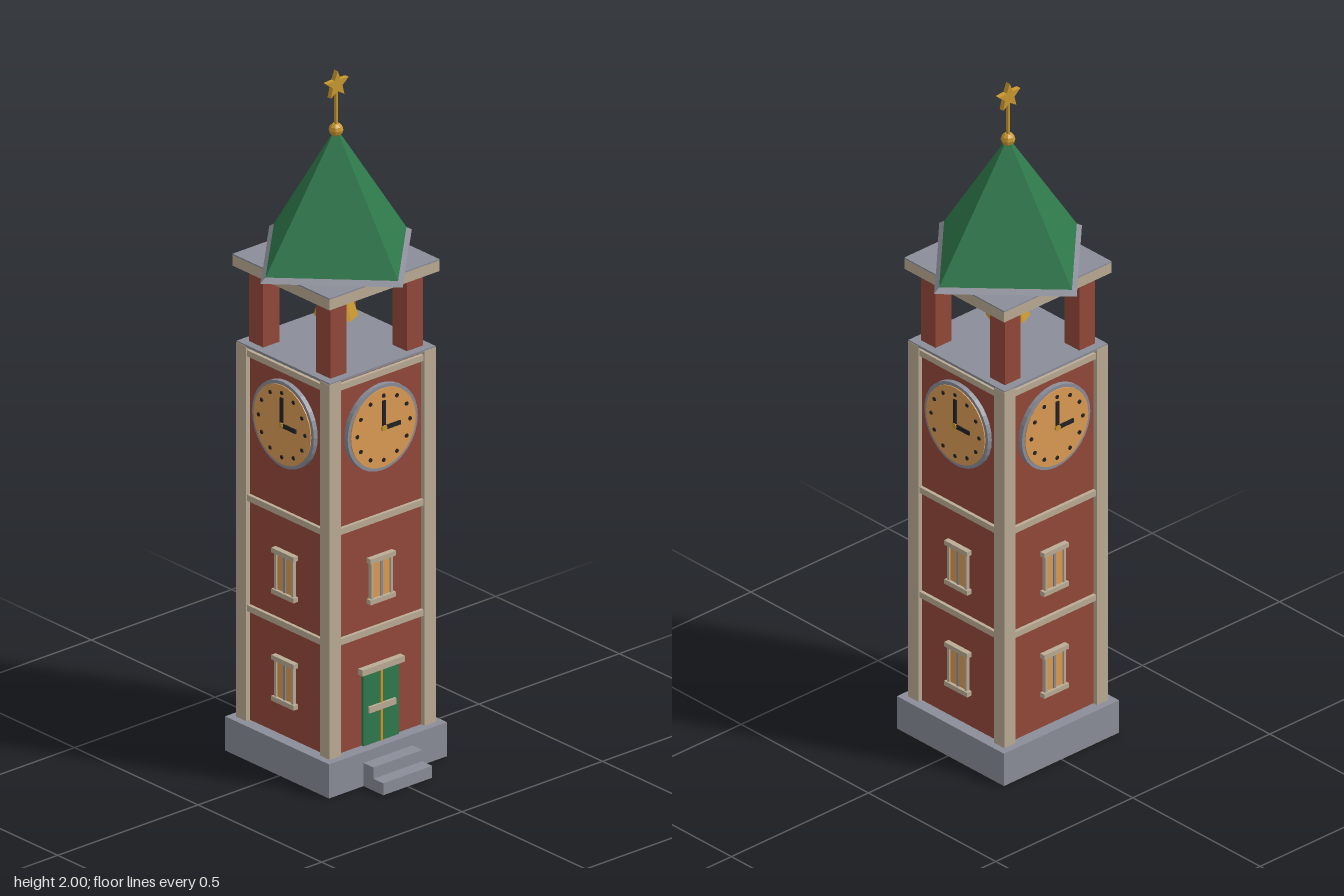
import * as THREE from 'three';

const material = (name, color) => Object.assign(new THREE.MeshStandardMaterial({ color, flatShading: true }), { name });

export function createModel() {
  const brick = material('brick', 0x94493a);
  const trim = material('sandstone trim', 0xbbad96);
  const stone = material('grey stone', 0x8b8e99);
  const green = material('green', 0x2e7a4c);
  const gold = material('gold', 0xc9982f);
  const amber = material('amber glass', 0xdd9c55);
  const dark = material('dark iron', 0x222226);

  const model = new THREE.Group();
  model.name = 'clockTower';
  const tower = new THREE.Group();
  tower.name = 'tower';
  tower.position.z = -0.01;
  model.add(tower);

  function add(parent, name, geometry, mat, x = 0, y = 0, z = 0) {
    const mesh = new THREE.Mesh(geometry, mat);
    mesh.name = name;
    mesh.position.set(x, y, z);
    parent.add(mesh);
    return mesh;
  }
  // Box given by its bottom and top heights
  const slab = (parent, name, mat, w, y0, y1, d, x = 0, z = 0) =>
    add(parent, name, new THREE.BoxGeometry(w, y1 - y0, d), mat, x, (y0 + y1) / 2, z);
  const disc = (parent, name, mat, r, depth, x, y, z, sides) =>
    add(parent, name, new THREE.CylinderGeometry(r, r, depth, sides).rotateX(Math.PI / 2), mat, x, y, z);

  // Base and entrance steps
  slab(tower, 'base', stone, 0.42, 0, 0.1, 0.42);
  slab(tower, 'upperStep', stone, 0.174, 0, 0.068, 0.05, 0, 0.225);
  slab(tower, 'lowerStep', stone, 0.174, 0, 0.035, 0.045, 0, 0.2675);

  // Shaft, corner piers and belfry posts
  slab(tower, 'shaft', brick, 0.35, 0.1, 1.195, 0.35);
  for (const sx of [-1, 1]) {
    for (const sz of [-1, 1]) {
      slab(tower, 'cornerPier', trim, 0.04, 0.1, 1.197, 0.04, sx * 0.169, sz * 0.169);
      slab(tower, 'belfryPost', brick, 0.058, 1.2, 1.42, 0.058, sx * 0.136, sz * 0.136);
    }
  }
  slab(tower, 'belfryFloor', stone, 0.376, 1.194, 1.201, 0.376);

  function addWindow(parent, y) {
    const win = new THREE.Group();
    win.name = 'window';
    win.position.set(0, y, 0.175);
    parent.add(win);
    slab(win, 'glass', amber, 0.062, -0.058, 0.058, 0.008, 0, 0.003);
    slab(win, 'mullion', stone, 0.008, -0.058, 0.058, 0.012, 0, 0.004);
    for (const s of [-1, 1]) {
      slab(win, 'jamb', trim, 0.007, -0.058, 0.058, 0.016, s * 0.034, 0.004);
      add(win, s > 0 ? 'lintel' : 'sill', new THREE.BoxGeometry(0.09, 0.014, 0.022), trim, 0, s * 0.06, 0.005);
    }
  }

  function addClock(parent) {
    const clock = new THREE.Group();
    clock.name = 'clock';
    clock.position.set(0, 1.018, 0.175);
    parent.add(clock);
    disc(clock, 'clockRim', stone, 0.125, 0.016, 0, 0, 0.006, 32);
    disc(clock, 'clockFace', amber, 0.115, 0.006, 0, 0, 0.014, 32);
    for (let i = 0; i < 12; i++) {
      const a = i * Math.PI / 6;
      disc(clock, 'hourMark', dark, 0.006, 0.003, Math.sin(a) * 0.094, Math.cos(a) * 0.094, 0.018, 8);
    }
    slab(clock, 'minuteHand', dark, 0.011, -0.005, 0.08, 0.004, 0, 0.019);
    slab(clock, 'hourHand', dark, 0.062, -0.006, 0.006, 0.004, 0.027, 0.0195);
    disc(clock, 'handHub', gold, 0.009, 0.006, 0, 0, 0.02, 10);
  }

  // Four sides: clock, string courses and openings
  for (let i = 0; i < 4; i++) {
    const side = new THREE.Group();
    side.name = ['frontSide', 'leftSide', 'backSide', 'rightSide'][i];
    side.rotation.y = i * Math.PI / 2;
    tower.add(side);
    for (const y of [0.43, 0.753, 1.176]) slab(side, 'stringCourse', trim, 0.3, y - 0.009, y + 0.009, 0.02, 0, 0.175);
    addClock(side);
    addWindow(side, 0.577);
    if (i > 0) addWindow(side, 0.263);
    else {
      slab(side, 'door', green, 0.126, 0.1, 0.312, 0.012, 0, 0.177);
      slab(side, 'doorSeam', gold, 0.008, 0.1, 0.312, 0.004, 0, 0.184);
      slab(side, 'doorBar', trim, 0.096, 0.194, 0.212, 0.008, 0, 0.186);
      slab(side, 'doorLintel', trim, 0.15, 0.311, 0.329, 0.03, 0, 0.178);
    }
  }

  // Bell and its hanger
  add(tower, 'bell', new THREE.CylinderGeometry(0.033, 0.06, 0.09, 8), gold, 0, 1.33, 0);
  add(tower, 'bellHanger', new THREE.CylinderGeometry(0.006, 0.006, 0.05, 8), dark, 0, 1.397, 0);

  // Cornice and roof, with the roof turned to a diamond
  slab(tower, 'cornice', trim, 0.392, 1.42, 1.451, 0.392);
  slab(tower, 'corniceCap', stone, 0.392, 1.451, 1.455, 0.392);
  add(tower, 'eave', new THREE.CylinderGeometry(0.25, 0.27, 0.014, 4), stone, 0, 1.461, 0);
  add(tower, 'roof', new THREE.ConeGeometry(0.254, 0.37, 4), green, 0, 1.648, 0);

  // Finial
  add(tower, 'finialBall', new THREE.SphereGeometry(0.02, 8, 6), gold, 0, 1.827, 0);
  add(tower, 'finialRod', new THREE.CylinderGeometry(0.006, 0.006, 0.11, 8), gold, 0, 1.885, 0);
  const star = new THREE.Shape();
  for (let i = 0; i < 10; i++) {
    const a = i * Math.PI / 5, r = i % 2 ? 0.018 : 0.041;
    star[i ? 'lineTo' : 'moveTo'](Math.sin(a) * r, Math.cos(a) * r);
  }
  star.closePath();
  const starGeometry = new THREE.ExtrudeGeometry(star, { depth: 0.014, bevelEnabled: false });
  add(tower, 'finialStar', starGeometry, gold, 0, 1.959, -0.007);

  return model;
}
